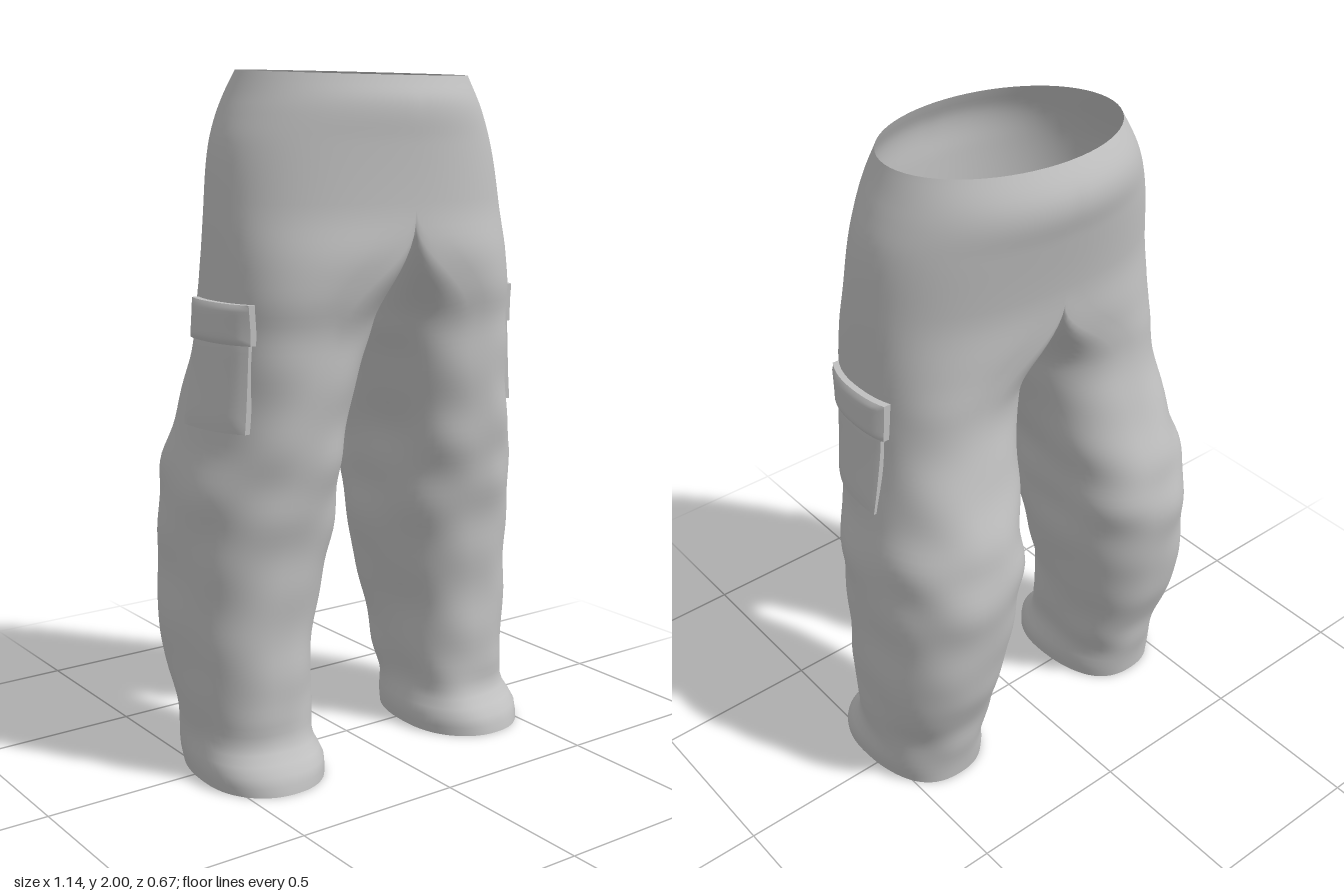
import * as THREE from 'three';
import { mergeVertices } from 'three/addons/utils/BufferGeometryUtils.js';

// Profile, rising: [height, outer x, inner x, front z, back z]
const PROFILE = [
  [0.00, 0.545, 0.190, 0.280, -0.200],
  [0.05, 0.550, 0.185, 0.268, -0.205],
  [0.11, 0.540, 0.198, 0.212, -0.212],
  [0.20, 0.545, 0.187, 0.202, -0.228],
  [0.30, 0.558, 0.180, 0.200, -0.260],
  [0.40, 0.568, 0.165, 0.195, -0.290],
  [0.60, 0.563, 0.122, 0.210, -0.315],
  [0.80, 0.558, 0.100, 0.240, -0.328],
  [0.90, 0.545, 0.098, 0.255, -0.312],
  [1.00, 0.520, 0.085, 0.263, -0.285],
  [1.20, 0.490, 0.042, 0.280, -0.222],
  [1.30, 0.483, 0.020, 0.286, -0.206],
  [1.40, 0.478, 0.010, 0.310, -0.210],
  [1.50, 0.475, 0.005, 0.328, -0.224],
  [1.62, 0.467, 0.000, 0.325, -0.236],
  [1.80, 0.440, 0.000, 0.330, -0.268],
  [1.88, 0.408, 0.000, 0.335, -0.284],
  [1.92, 0.388, 0.000, 0.330, -0.279],
  [1.9875, 0.355, 0.000, 0.305, -0.240],
];
const CROTCH = 1.62;
const TOP = 1.9875;
const curve = new THREE.CubicInterpolant(
  PROFILE.map((r) => r[0]), PROFILE.flatMap((r) => r.slice(1)), 4);

const { smoothstep, lerp } = THREE.MathUtils;
const power = (v, e) => Math.sign(v) * Math.abs(v) ** e;

// Cross-section measures at one height
function section(y) {
  const [outer, inner, front, back] = curve.evaluate(y);
  return {
    outer, cx: (outer + inner) / 2, rx: (outer - inner) / 2,
    cz: (front + back) / 2, rz: (front - back) / 2,
    p: lerp(2.3, 2, smoothstep(y, 1.5, 1.9)),
  };
}

// Soft cloth folds, strongest around the knee and above the hem
function folds(a, y) {
  const wave = 0.5 * Math.sin(3 * a + 9 * y) + 0.3 * Math.sin(5 * a - 23 * y)
    + 0.3 * Math.sin(2 * a + 31 * y);
  const knee = Math.exp(-(((y - 0.85) / 0.18) ** 2));
  const ankle = Math.exp(-(((y - 0.15) / 0.1) ** 2));
  return wave * (0.004 + 0.006 * knee + 0.004 * ankle) * (1 - smoothstep(y, 1.15, 1.5));
}

// Point on the left half: a round leg turning into half of the hips
function clothPoint(y, a) {
  const s = section(y);
  const c = power(Math.cos(a), 2 / s.p);
  const d = power(Math.sin(a), 2 / s.p);
  const hip = smoothstep(y, 1.33, CROTCH);
  const f = folds(a, y);
  const x = lerp(s.cx + (s.rx + f) * c, s.outer * Math.max(0, c), hip);
  const z = s.cz + (s.rz + f) * d;
  const dip = y <= CROTCH ? 0.11 * Math.sqrt(Math.max(0, -Math.cos(a))) * smoothstep(y, 1.15, CROTCH) : 0;
  const tilt = 0.0125 * Math.sin(a) * smoothstep(y, 1.88, TOP);
  return [Math.abs(x) < 1e-6 ? 0 : x, y - dip - tilt, z];
}

// Both legs and the hips as one welded cloth surface
function trousersGeometry() {
  const N = 64, legRows = 64, hipRows = 22;
  const heights = [];
  for (let i = 0; i <= legRows; i++) heights.push(CROTCH * i / legRows);
  for (let i = 1; i <= hipRows; i++) heights.push(lerp(CROTCH, TOP, i / hipRows));
  const positions = [], index = [];
  for (const side of [1, -1]) {
    const base = positions.length / 3;
    for (const y of heights) {
      for (let j = 0; j < N; j++) {
        const [px, py, pz] = clothPoint(y, -Math.PI / 2 + 2 * Math.PI * j / N);
        positions.push(px * side, py, pz);
      }
    }
    for (let i = 0; i < heights.length - 1; i++) {
      const columns = i < legRows ? N : N / 2;
      for (let j = 0; j < columns; j++) {
        const a = base + i * N + j, b = base + i * N + (j + 1) % N;
        if (side > 0) index.push(a, a + N, b, b, a + N, b + N);
        else index.push(a, b, a + N, b, b + N, a + N);
      }
    }
  }
  const geometry = new THREE.BufferGeometry();
  geometry.setAttribute('position', new THREE.Float32BufferAttribute(positions, 3));
  geometry.setIndex(index);
  const welded = mergeVertices(geometry, 1e-5);
  welded.computeVertexNormals();
  return welded;
}

// Padded panel that hugs the outside of a leg
function panelGeometry(side, y0, y1, z0, z1, thickness) {
  const geometry = new THREE.BoxGeometry(1, 1, 1, 1, 12, 16);
  const pos = geometry.attributes.position;
  for (let i = 0; i < pos.count; i++) {
    const u = pos.getZ(i), v = pos.getY(i);
    const y = lerp(y0, y1, v + 0.5), z = lerp(z0, z1, u + 0.5);
    const s = section(y);
    const k = Math.min(1, Math.abs((z - s.cz) / s.rz));
    const surface = s.cx + s.rx * (1 - k ** s.p) ** (1 / s.p);
    const edge = Math.max(Math.abs(u), Math.abs(v)) * 2;
    const pad = thickness * (1 - 0.35 * edge ** 6);
    pos.setXYZ(i, side * (surface + (pos.getX(i) > 0 ? pad : -0.02)), y, z);
  }
  if (side < 0) {
    const idx = geometry.index;
    for (let i = 0; i < idx.count; i += 3) {
      const t = idx.getX(i);
      idx.setX(i, idx.getX(i + 1));
      idx.setX(i + 1, t);
    }
  }
  geometry.computeVertexNormals();
  return geometry;
}

export function createModel() {
  const cloth = new THREE.MeshStandardMaterial({ color: 0xc0c0c0, side: THREE.DoubleSide });
  cloth.name = 'grey cloth';
  const model = new THREE.Group();
  model.name = 'cargoTrousers';
  const add = (name, geometry) => {
    const mesh = new THREE.Mesh(geometry, cloth);
    mesh.name = name;
    model.add(mesh);
  };

  add('trousers', trousersGeometry());

  // Cargo pocket and flap on each thigh
  for (const [label, side] of [['left', 1], ['right', -1]]) {
    add(label + 'Pocket', panelGeometry(side, 1.025, 1.29, -0.05, 0.19, 0.018));
    add(label + 'PocketFlap', panelGeometry(side, 1.265, 1.375, -0.065, 0.2, 0.028));
  }
  return model;
}
